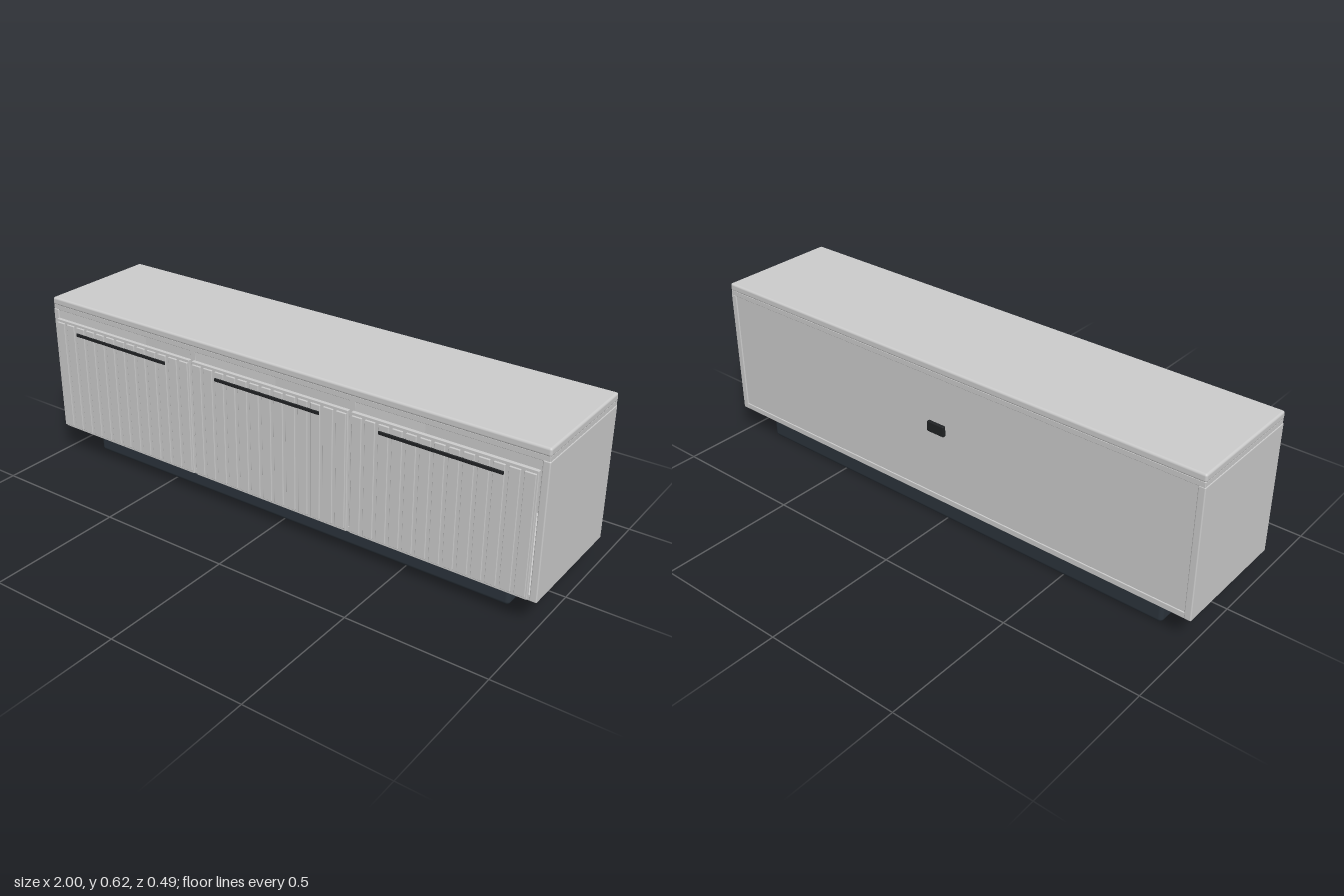
import * as THREE from 'three';
import { RoundedBoxGeometry } from 'three/addons/geometries/RoundedBoxGeometry.js';

const grey = new THREE.MeshStandardMaterial({ color: 0xcccccc });
const navy = new THREE.MeshStandardMaterial({ color: 0x2b333b });
const black = new THREE.MeshStandardMaterial({ color: 0x202224 });

// Softly rounded box given by its [min, max] extent on each axis
function block(name, [x0, x1], [y0, y1], [z0, z1], radius, material = grey) {
  const geometry = new RoundedBoxGeometry(x1 - x0, y1 - y0, z1 - z0, 3, radius);
  const mesh = new THREE.Mesh(geometry, material);
  mesh.position.set((x0 + x1) / 2, (y0 + y1) / 2, (z0 + z1) / 2);
  mesh.name = name;
  return mesh;
}

// Fluted front with thirteen upright slats and a slim bar handle
function createDoor(name) {
  const door = new THREE.Group();
  door.name = name;
  door.add(block('doorPanel', [-0.32, 0.32], [0.11, 0.549], [0.222, 0.235], 0.002));
  const count = 13, pitch = 0.0495, half = 0.0185;
  for (let i = 0; i < count; i++) {
    const x = (i - (count - 1) / 2) * pitch;
    door.add(block('slat', [x - half, x + half], [0.12, 0.539], [0.233, 0.241], 0.002));
  }
  door.add(block('handle', [-0.215, 0.215], [0.506, 0.518], [0.239, 0.245], 0.002, black));
  return door;
}

export function createModel() {
  const cabinet = new THREE.Group();
  cabinet.name = 'sideboard';
  const depth = [-0.237, 0.222];

  // Plinth
  cabinet.add(block('plinth', [-0.88, 0.88], [0, 0.101], [-0.195, 0.154], 0.015, navy));

  // Hollow carcass
  cabinet.add(block('top', [-1, 1], [0.594, 0.623], depth, 0.008));
  cabinet.add(block('topRail', [-0.998, 0.998], [0.577, 0.597], [-0.236, 0.22], 0.002));
  cabinet.add(block('bottom', [-0.99, 0.99], [0.101, 0.124], [-0.236, 0.221], 0.003));
  cabinet.add(block('backPanel', [-0.98, 0.98], [0.118, 0.585], [-0.233, -0.218], 0.001));
  for (const side of [-1, 1]) {
    const panel = block('sidePanel', [-0.0125, 0.0125], [0.101, 0.58], depth, 0.004);
    panel.position.x = side * 0.9875;
    const divider = block('divider', [-0.01, 0.01], [0.115, 0.585], [-0.225, 0.22], 0.001);
    divider.position.x = side * 0.327;
    cabinet.add(panel, divider);
  }

  // Cable outlet in the back
  cabinet.add(block('cableOutlet', [-0.036, 0.036], [0.368, 0.407], [-0.244, -0.228], 0.003, black));

  // Three doors
  ['rightDoor', 'middleDoor', 'leftDoor'].forEach((name, i) => {
    const door = createDoor(name);
    door.position.x = (i - 1) * 0.653;
    cabinet.add(door);
  });
  return cabinet;
}
